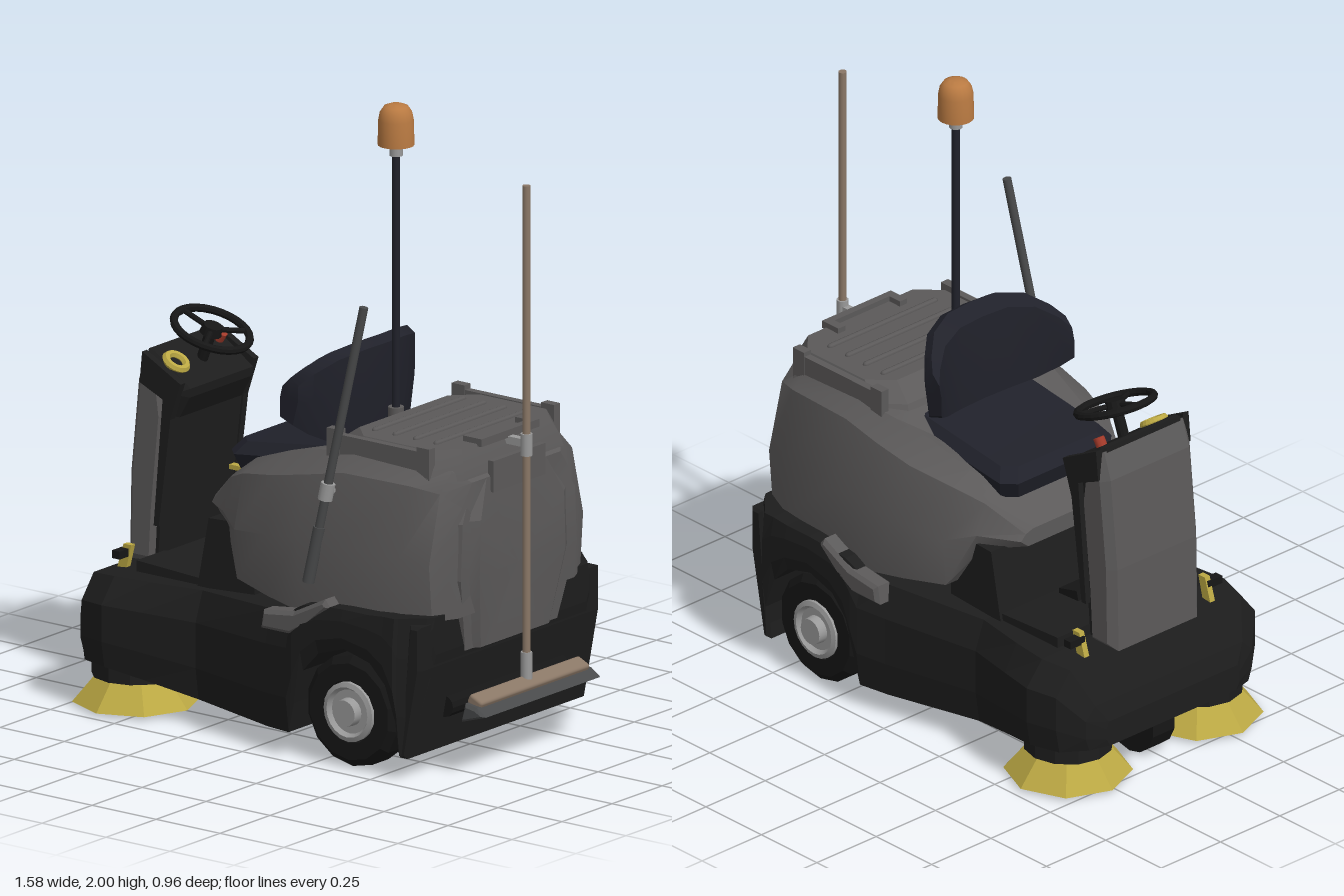
import * as THREE from 'three';
import { toCreasedNormals } from 'three/addons/utils/BufferGeometryUtils.js';
import { RoundedBoxGeometry } from 'three/addons/geometries/RoundedBoxGeometry.js';

const V = (x, y, z) => new THREE.Vector3(x, y, z);
const mat = (color, flatShading = false) => new THREE.MeshStandardMaterial({ color, flatShading });
const BLACK = mat(0x1d1d1d, true), RUBBER = mat(0x161616, true), GREY = mat(0x5b5959), NAVY = mat(0x20212a);
const YELLOW = mat(0xbba843, true), METAL = mat(0x9a9a9a), BROWN = mat(0x8a7766), ORANGE = mat(0xb97a42);
const DARK = mat(0x48494a), RED = mat(0xa33a2a);

// Skin closed rings of [x, y, z] points, cap both ends, face outwards
function loft(rings, crease = 0.5) {
  const tris = [], n = rings[0].length;
  for (let i = 0; i + 1 < rings.length; i++) for (let j = 0; j < n; j++) {
    const k = (j + 1) % n, [a, b] = [rings[i], rings[i + 1]];
    tris.push([a[j], a[k], b[k]], [a[j], b[k], b[j]]);
  }
  [rings[0], rings.at(-1)].forEach((r, end) => {
    const c = [0, 1, 2].map(d => r.reduce((s, p) => s + p[d], 0) / n);
    for (let j = 0; j < n; j++) {
      const k = (j + 1) % n;
      tris.push(end ? [c, r[j], r[k]] : [c, r[k], r[j]]);
    }
  });
  const volume = tris.reduce((s, [a, b, c]) => s + V(...a).dot(V(...b).cross(V(...c))), 0);
  if (volume < 0) tris.forEach(t => t.reverse());
  const geo = new THREE.BufferGeometry();
  geo.setAttribute('position', new THREE.Float32BufferAttribute(tris.flat(2), 3));
  geo.computeVertexNormals();
  return toCreasedNormals(geo, crease);
}

// Ring at x from a half outline of [z, y] points running bottom to top
const mirrorRing = (x, half) => [
  ...half.map(([z, y]) => [x, y, z]),
  ...[...half].reverse().map(([z, y]) => [x, y, -z])];

// Side outline of [x, y] points, extruded across z
function prism(pts, halfWidth, bevel = 0) {
  const geo = new THREE.ExtrudeGeometry(new THREE.Shape(pts.map(p => new THREE.Vector2(...p))), {
    depth: 2 * (halfWidth - bevel), bevelEnabled: bevel > 0, bevelSize: bevel, bevelOffset: -bevel,
    bevelThickness: bevel, bevelSegments: 1 });
  return geo.translate(0, 0, bevel - halfWidth);
}

function rod(a, b, r, sides = 12) {
  const d = b.clone().sub(a);
  const geo = new THREE.CylinderGeometry(r, r, d.length(), sides);
  geo.applyQuaternion(new THREE.Quaternion().setFromUnitVectors(V(0, 1, 0), d.normalize()));
  return geo.translate(...a.clone().add(b).multiplyScalar(0.5).toArray());
}
const box = (w, h, d, x, y, z) => new THREE.BoxGeometry(w, h, d).translate(x, y, z);

export function createModel() {
  const root = new THREE.Group();
  const add = (name, geo, material, parent = root) => {
    const m = new THREE.Mesh(geo, material);
    m.name = name;
    parent.add(m);
    return m;
  };

  // Chassis: x, bottom, top, belt half width, top half width; the bottom line forms the wheel arch
  const chassis = [
    [-0.77, 0.155, 0.24, 0.28, 0.27], [-0.75, 0.155, 0.30, 0.35, 0.31], [-0.69, 0.15, 0.42, 0.42, 0.36],
    [-0.59, 0.15, 0.43, 0.45, 0.385], [-0.46, 0.125, 0.43, 0.42, 0.37], [-0.28, 0.085, 0.43, 0.375, 0.34],
    [0.05, 0.075, 0.45, 0.45, 0.42], [0.15, 0.08, 0.46, 0.475, 0.45], [0.175, 0.18, 0.48, 0.48, 0.46],
    [0.21, 0.29, 0.50, 0.48, 0.465], [0.27, 0.355, 0.51, 0.48, 0.47], [0.37, 0.387, 0.515, 0.48, 0.47],
    [0.47, 0.36, 0.515, 0.48, 0.47], [0.53, 0.30, 0.52, 0.48, 0.47], [0.57, 0.19, 0.52, 0.48, 0.47],
    [0.578, 0.08, 0.52, 0.47, 0.46], [0.60, 0.07, 0.52, 0.45, 0.44], [0.645, 0.30, 0.52, 0.41, 0.40],
    [0.66, 0.40, 0.52, 0.39, 0.38]];
  add('chassis', loft(chassis.map(([x, b, t, w, tw]) => mirrorRing(x,
    [[w - 0.015, b], [w, b + (t - b) * 0.3], [w, b + (t - b) * 0.72], [tw, t]])), 0.1), BLACK);
  add('floorPlate', prism([[-0.57, 0.42], [-0.57, 0.465], [-0.28, 0.45], [-0.28, 0.42]], 0.3), BLACK);
  add('seatPedestal', prism([[-0.325, 0.42], [-0.28, 0.655], [-0.18, 0.66], [-0.1, 0.5], [-0.1, 0.42]], 0.31), BLACK);
  add('rearBumper', prism([[0.57, 0.07], [0.6, 0.07], [0.655, 0.36], [0.655, 0.5], [0.61, 0.5]], 0.45, 0.01), BLACK);
  add('rearRoller', rod(V(0.625, 0.21, -0.29), V(0.625, 0.21, 0.29), 0.035), RUBBER);

  // Hood: x, bottom, [z, y] at foot, waist, shoulder, inner shoulder, centre height
  const hood = [
    [-0.33, 0.655, 0.2, 0.23, 0.68, 0.21, 0.70, 0.18, 0.71, 0.71],
    [-0.22, 0.635, 0.29, 0.315, 0.69, 0.28, 0.79, 0.25, 0.80, 0.80],
    [-0.13, 0.5, 0.36, 0.375, 0.66, 0.33, 0.83, 0.26, 0.865, 0.83],
    [0.02, 0.48, 0.40, 0.415, 0.68, 0.37, 0.86, 0.28, 0.92, 0.87],
    [0.16, 0.46, 0.42, 0.435, 0.70, 0.38, 0.89, 0.31, 0.955, 0.95],
    [0.30, 0.46, 0.42, 0.43, 0.70, 0.38, 0.92, 0.32, 0.97, 0.97],
    [0.55, 0.50, 0.41, 0.42, 0.70, 0.37, 0.92, 0.31, 0.97, 0.97],
    [0.64, 0.50, 0.37, 0.385, 0.68, 0.33, 0.90, 0.27, 0.96, 0.96],
    [0.68, 0.50, 0.29, 0.30, 0.68, 0.27, 0.85, 0.22, 0.92, 0.92]];
  add('hood', loft(hood.map(([x, b, w0, w1, y1, w2, y2, w3, y3, c]) => mirrorRing(x,
    [[w0, b], [w1, y1], [w2, y2], [w3, y3], [0.2 * w3 / 0.3, c]]))), GREY);

  // Stepped panels on the back of the hood
  const rearPanel = (x, s) => [[0.17, 0.38], [0.23, 0.38], [0.29, 0.62], [0.28, 0.8], [0.2, 0.92]]
    .map(([z, y], i) => [x - (i === 4 ? 0.025 : i < 2 ? 0.03 : 0), y, z * s]);
  const ringOf = half => [...half, ...[...half].reverse().map(([x, y, z]) => [x, y, -z])];
  add('rearPanel', loft([ringOf(rearPanel(0.64, 1.08)), ringOf(rearPanel(0.69, 1))], 0.3), GREY);
  add('rearInset', loft([ringOf(rearPanel(0.68, 0.88)), ringOf(rearPanel(0.705, 0.74))], 0.3), GREY);
  add('rearGrip', box(0.02, 0.1, 0.26, 0.682, 0.92, 0), GREY);

  // Tank lid with ribs, rails and handle
  const octagon = (x0, x1, w, y, c) => [[x0 + c, w], [x1 - c, w], [x1, w - c], [x1, c - w], [x1 - c, -w],
    [x0 + c, -w], [x0, c - w], [x0, w - c]].map(([x, z]) => [x, y, z]);
  const lid = new THREE.Group();
  lid.name = 'tankLid';
  root.add(lid);
  add('lidPlate', loft([octagon(0.15, 0.67, 0.33, 0.93, 0.08), octagon(0.17, 0.66, 0.32, 0.97, 0.08),
    octagon(0.24, 0.64, 0.29, 1.02, 0.07)], 0.3), GREY, lid);
  for (let i = 0; i < 4; i++)
    add('lidRib', new THREE.CapsuleGeometry(0.01, 0.44, 3, 8).rotateX(Math.PI / 2).translate(0.3 + i * 0.08, 1.02, 0), GREY, lid);
  for (const s of [-1, 1]) {
    add('lidRail', box(0.36, 0.07, 0.025, 0.4, 0.985, s * 0.312), GREY, lid);
    for (const x of [0.22, 0.57]) add('lidHinge', box(0.05, 0.1, 0.03, x, 0.985, s * 0.312), GREY, lid);
    add('lidHandlePost', box(0.07, 0.025, 0.03, 0.62, 1.025, s * 0.13), GREY, lid);
  }
  add('lidHandle', box(0.025, 0.025, 0.29, 0.645, 1.025, 0), GREY, lid);

  // Seat cushion and wrap-around backrest
  const cushion = (y, g, c) => octagon(-0.28 + g, 0.17, 0.235 - g, y, c)
    .map(([x, , z]) => [x, y + Math.max(0, x + 0.05) * 0.25, z]);
  add('seatCushion', loft([cushion(0.79, 0.02, 0.04), cushion(0.85, 0, 0.04), cushion(0.89, 0.03, 0.04)], 0.3), NAVY);
  const backrest = [-0.28, -0.25, -0.19, -0.1, 0, 0.1, 0.19, 0.25, 0.28].map(z => {
    const u = Math.abs(z) / 0.28, fwd = 0.13 * u ** 3;
    const top = 1.25 - 0.1 * u ** 4, low = 0.92 + 0.08 * u ** 4, thick = 0.075 - 0.025 * u ** 4;
    const back = 0.155 - fwd;
    return [[back - thick, low + 0.02, z], [back, low, z], [back + 0.02, (low + top) / 2, z],
      [back + 0.022, top - 0.02, z], [back - 0.01, top, z], [back - thick + 0.01, top - 0.03, z], [back - thick, 1.08, z]];
  });
  add('seatBackrest', loft(backrest, 0.6), NAVY);
  add('seatLever', box(0.07, 0.015, 0.025, -0.265, 0.787, 0.17), YELLOW);

  // Steering column
  add('columnShell', prism([[-0.7, 0.42], [-0.695, 0.7], [-0.665, 1.0], [-0.635, 1.09], [-0.565, 1.05],
    [-0.545, 0.9], [-0.575, 0.6], [-0.585, 0.42]], 0.19, 0.025), GREY);
  add('columnCore', prism([[-0.67, 0.42], [-0.66, 0.9], [-0.635, 1.1], [-0.61, 1.095], [-0.47, 1.0], [-0.475, 0.97],
    [-0.515, 0.9], [-0.55, 0.6], [-0.565, 0.42]], 0.175, 0.02), BLACK);
  for (const s of [-1, 1])
    add('columnEdge', prism([[-0.64, 1.0], [-0.63, 1.1], [-0.48, 1.02], [-0.52, 0.9], [-0.565, 0.55], [-0.585, 0.55], [-0.55, 0.96]], 0.012)
      .translate(0, 0, s * 0.183), BLACK);
  const dash = new THREE.Group();
  dash.name = 'dashboard';
  dash.position.set(-0.555, 1.063, 0);
  dash.rotation.z = -0.56;
  root.add(dash);
  add('dial', new THREE.TorusGeometry(0.034, 0.013, 6, 20).rotateX(Math.PI / 2).translate(0, 0, 0.12), YELLOW, dash);
  add('stopButton', new THREE.CylinderGeometry(0.018, 0.018, 0.03, 12).translate(-0.03, 0.01, -0.125), RED, dash);

  // Steering wheel
  const steering = new THREE.Group();
  steering.name = 'steeringWheel';
  steering.position.set(-0.51, 1.148, 0);
  steering.rotation.z = -0.36;
  root.add(steering);
  add('rim', new THREE.TorusGeometry(0.122, 0.013, 8, 28).rotateX(Math.PI / 2), RUBBER, steering);
  add('hub', new THREE.CylinderGeometry(0.03, 0.035, 0.03, 12), RUBBER, steering);
  add('shaft', rod(V(0, -0.12, 0), V(0, 0, 0), 0.018), RUBBER, steering);
  for (const a of [0.5, 2.64, 4.71])
    add('spoke', rod(V(0, 0, 0), V(0.12 * Math.sin(a), 0, 0.12 * Math.cos(a)), 0.009, 8), RUBBER, steering);
  add('pedal', prism([[-0.43, 0.45], [-0.42, 0.49], [-0.34, 0.47], [-0.34, 0.45]], 0.08), RUBBER);

  // Brushes, latches and rear wheels on both sides
  for (const s of [-1, 1]) {
    add('sideBrush', new THREE.CylinderGeometry(0.125, 0.2, 0.088, 8).translate(-0.59, 0.054, s * 0.275), YELLOW);
    add('brushMount', new THREE.CylinderGeometry(0.14, 0.14, 0.06, 12).translate(-0.59, 0.125, s * 0.275), BLACK);
    add('deckLatch', prism([[-0.665, 0.42], [-0.64, 0.5], [-0.61, 0.5], [-0.63, 0.42]], 0.01).translate(0, 0, s * 0.265), YELLOW);
    add('footPeg', box(0.03, 0.025, 0.06, -0.635, 0.475, s * 0.29), RUBBER);
    const wheel = new THREE.Group();
    wheel.name = 'rearWheel';
    wheel.position.set(0.37, 0.18, s * 0.38);
    wheel.rotation.x = s * Math.PI / 2;
    root.add(wheel);
    const tyre = [[0.09, -0.06], [0.155, -0.06], [0.178, -0.04], [0.178, 0.04], [0.155, 0.06], [0.1, 0.06], [0.09, 0.04], [0, 0.04]];
    add('tyre', new THREE.LatheGeometry([[0, -0.06], ...tyre].map(p => new THREE.Vector2(...p)), 14), RUBBER, wheel);
    const rim = [[0.095, 0.04], [0.095, 0.065], [0.08, 0.07], [0.07, 0.055], [0.045, 0.055], [0.042, 0.085], [0, 0.085]];
    add('hubCap', toCreasedNormals(new THREE.LatheGeometry(rim.map(p => new THREE.Vector2(...p)), 20), 0.5), METAL, wheel);
    // Flare in front of the wheel arch
    add('fenderFlare', prism([[0.05, 0.4], [0.06, 0.46], [0.18, 0.475], [0.3, 0.535], [0.32, 0.51], [0.24, 0.44], [0.17, 0.4]], 0.035, 0.012)
      .translate(0, 0, s * 0.445), GREY);
  }
  add('rearAxle', rod(V(0.37, 0.18, -0.35), V(0.37, 0.18, 0.35), 0.03), RUBBER);
  add('frontWheel', rod(V(-0.62, 0.11, -0.045), V(-0.62, 0.11, 0.045), 0.11, 14), RUBBER);

  // Warning beacon
  add('beaconPole', rod(V(0.21, 0.95, 0), V(0.21, 1.84, 0), 0.013), NAVY);
  add('beaconFoot', rod(V(0.21, 0.98, 0), V(0.21, 1.03, 0), 0.025), GREY);
  add('beaconSocket', rod(V(0.21, 1.835, 0), V(0.21, 1.875, 0), 0.021), METAL);
  const dome = [[0, 1.87], [0.057, 1.87], [0.055, 1.95], [0.05, 1.975], [0.038, 1.993], [0.02, 2], [0, 2]];
  add('beacon', toCreasedNormals(new THREE.LatheGeometry(dome.map(p => new THREE.Vector2(...p)), 20), 0.7).translate(0.21, 0, 0), ORANGE);

  // Broom clipped on the back
  add('broomPole', rod(V(0.72, 0.3, 0), V(0.72, 1.83, 0), 0.013), BROWN);
  add('broomFerrule', rod(V(0.72, 0.24, 0), V(0.72, 0.335, 0), 0.018), METAL);
  add('broomClip', rod(V(0.72, 0.965, 0), V(0.72, 1.035, 0), 0.019), METAL);
  add('broomBracket', box(0.1, 0.025, 0.025, 0.67, 1.005, 0), METAL);
  add('broomHead', new RoundedBoxGeometry(0.055, 0.035, 0.545, 2, 0.01).rotateZ(-0.45).translate(0.728, 0.234, 0), BROWN);
  add('broomBristles', prism([[0.69, 0.17], [0.705, 0.232], [0.75, 0.225], [0.785, 0.2]], 0.295, 0.01), DARK);

  // Hand tool on the left side
  const low = V(0.215, 0.57, 0.445), high = V(0.37, 1.46, 0.365);
  const along = t => low.clone().lerp(high, t);
  add('handTool', rod(low, high, 0.014), DARK);
  add('handToolGrip', rod(low, along(0.2), 0.019), DARK);
  add('handToolClamp', rod(along(0.3), along(0.36), 0.023), METAL);
  add('handToolBracket', rod(along(0.33), V(0.27, 0.86, 0.36), 0.014), METAL);
  return root;
}
